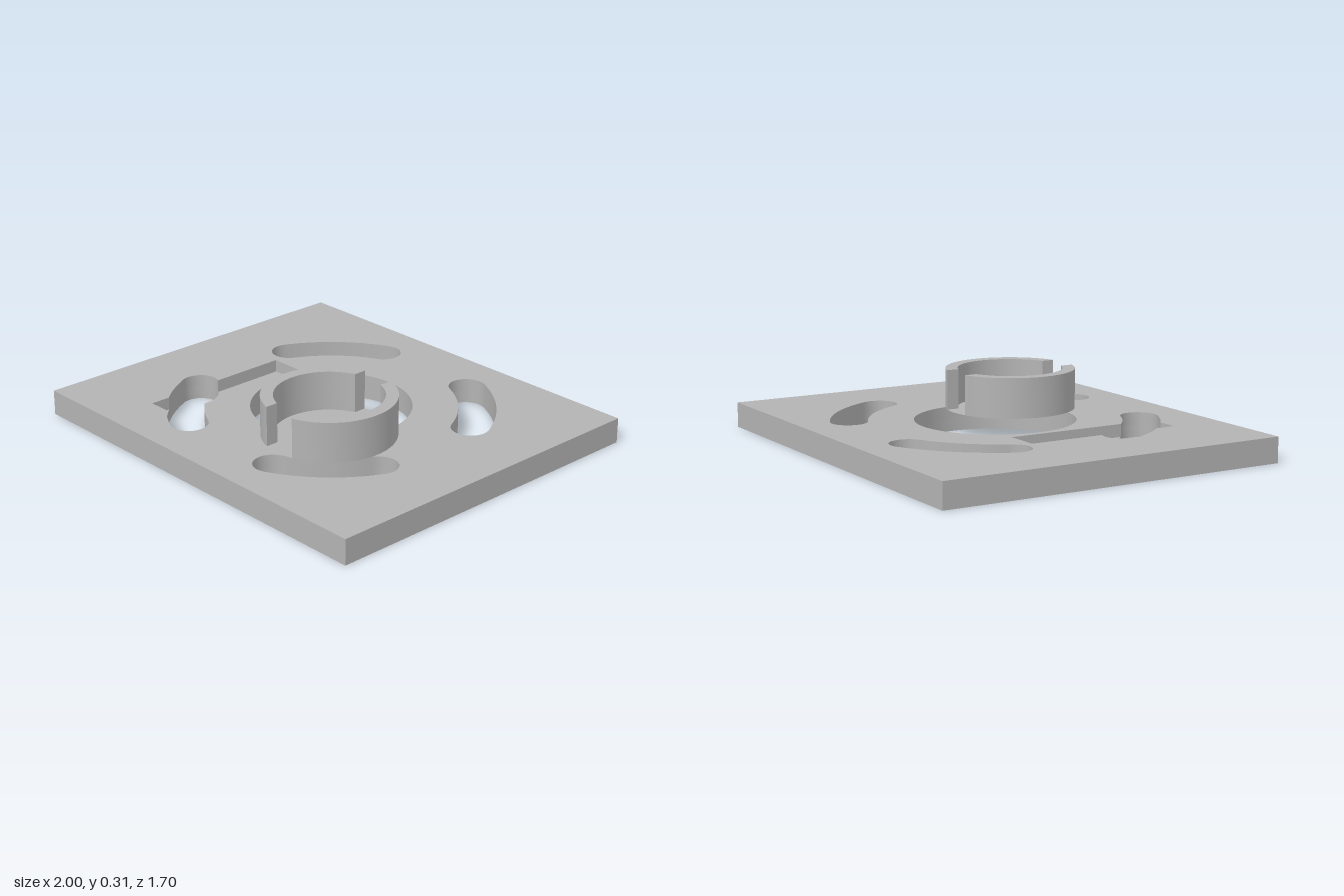
import * as THREE from 'three';
import { toCreasedNormals } from 'three/addons/utils/BufferGeometryUtils.js';

const T = 0.12, MID = 0.06;                 // plate thickness, recess level
const R = 0.673, W = 0.0875;                // arc slot: centre radius, half width
const A0 = 25 * Math.PI / 180, A1 = 65 * Math.PI / 180;
const RI = R - W, RO = R + W;

// points along an arc; plan coordinates are (x, z)
function arc(cx, cz, r, a, b, n) {
  const pts = [];
  for (let i = 0; i <= n; i++) {
    const t = a + (b - a) * i / n;
    pts.push(new THREE.Vector2(cx + r * Math.cos(t), cz + r * Math.sin(t)));
  }
  return pts;
}
const endCap = (a, from, to) => arc(R * Math.cos(a), R * Math.sin(a), W, from, to, 14);
const rect = (x0, z0, x1, z1) => [[x0, z0], [x1, z0], [x1, z1], [x0, z1]].map(p => new THREE.Vector2(...p));
const mirror = (pts, sx, sz) => pts.map(p => new THREE.Vector2(p.x * sx, p.y * sz));

// extrude a plan outline between two heights
function slab(outline, holes, y0, y1) {
  const shape = new THREE.Shape(outline);
  shape.holes = holes.map(h => new THREE.Path(h));
  const g = new THREE.ExtrudeGeometry(shape, { depth: y1 - y0, bevelEnabled: false });
  g.rotateX(Math.PI / 2).translate(0, y1, 0);
  return toCreasedNormals(g, 0.5);
}

export function createModel() {
  const group = new THREE.Group();
  const grey = new THREE.MeshStandardMaterial({ color: 0xb3b3b3, side: THREE.DoubleSide });
  grey.name = 'grey';
  const add = (name, geometry) => {
    const m = new THREE.Mesh(geometry, grey);
    m.name = name;
    group.add(m);
    return m;
  };

  // curved slot in the +x +z quadrant
  const slot = [
    ...arc(0, 0, RO, A0, A1, 24),
    ...endCap(A1, A1, A1 + Math.PI).slice(1),
    ...arc(0, 0, RI, A1, A0, 24).slice(1),
    ...endCap(A0, A0 + Math.PI, A0 + 2 * Math.PI).slice(1, -1),
  ];
  const bore = arc(0, 0, 0.375, 0, 2 * Math.PI, 64).slice(0, -1);
  const slots = [[1, 1], [1, -1], [-1, -1]].map(([sx, sz]) => mirror(slot, sx, sz));

  // straight groove merged with the slot it crosses (drawn at +x, then mirrored)
  const gx0 = 0.405, gx1 = 0.57, gz0 = -0.16, gz1 = 0.6;
  const capX = R * Math.cos(A0);
  const capEnd = 2 * Math.PI - Math.acos((gx1 - capX) / W);
  const groovedSlot = mirror([
    new THREE.Vector2(gx1, gz0), new THREE.Vector2(gx0, gz0),
    ...arc(0, 0, RI, Math.acos(gx0 / RI), A1, 14),
    ...endCap(A1, A1 + Math.PI, A1).slice(1),
    ...arc(0, 0, RO, A1, Math.asin(gz1 / RO), 10).slice(1),
    new THREE.Vector2(gx1, gz1),
    ...arc(0, 0, RO, Math.acos(gx1 / RO), A0, 12),
    ...endCap(A0, A0 + 2 * Math.PI, capEnd).slice(1),
  ], -1, 1);

  // pockets cut into the underside near the front corners
  const pocket = rect(0.915, 0.52, 0.985, 0.745);
  const plate = rect(-1, -0.85, 1, 0.85);
  add('plateLower', slab(plate,
    [bore, ...slots, mirror(slot, -1, 1), pocket, mirror(pocket, -1, 1)], 0, MID));
  add('plateUpper', slab(plate, [bore, ...slots, groovedSlot], MID, T));

  // split collar with a thin floor
  const cx = 0.2225, cz = 0.218, ro = 0.308, ri = 0.25, gap = 0.0825;
  const ao = Math.acos(gap / ro), ai = Math.acos(gap / ri);
  const half = [...arc(0, 0, ro, -ao, ao, 40), ...arc(0, 0, ri, ai, -ai, 40)];
  for (const s of [1, -1]) {
    const m = add(s > 0 ? 'collarLeft' : 'collarRight', slab(mirror(half, s, 1), [], T, 0.31));
    m.position.set(cx, 0, cz);
  }
  const floor = add('collarFloor', new THREE.CircleGeometry(ro, 64).rotateX(-Math.PI / 2));
  floor.position.set(cx, T + 0.001, cz);

  return group;
}
